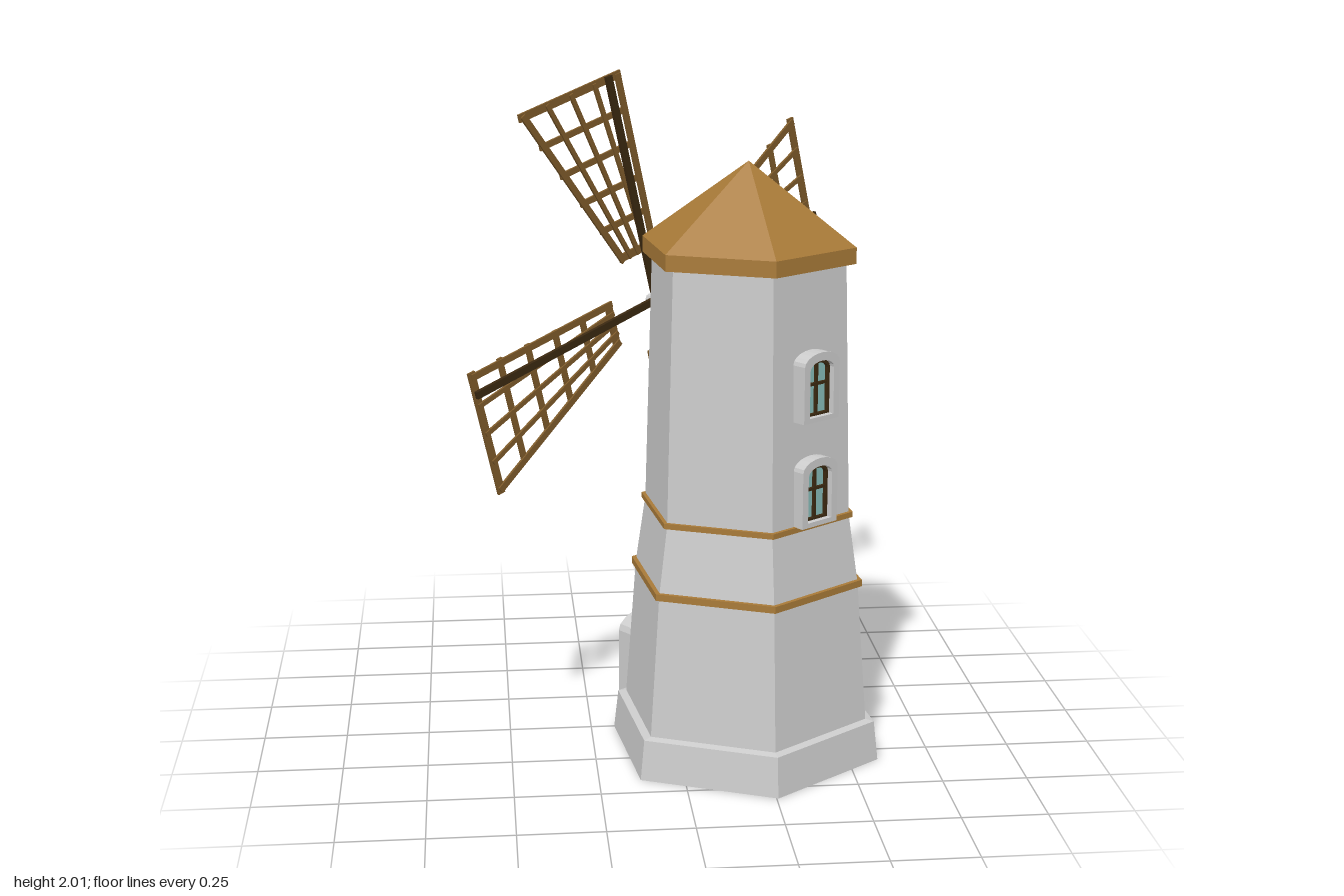
import * as THREE from 'three';

const mat = (color) => new THREE.MeshStandardMaterial({ color, flatShading: true });
const stone = mat(0xcccccc), roofWood = mat(0xa87a38), sailWood = mat(0x7d5a2a);
const darkWood = mat(0x3a2810), glass = mat(0x86bcb8);

function add(parent, name, geometry, material, x = 0, y = 0, z = 0) {
  const mesh = new THREE.Mesh(geometry, material);
  mesh.name = name;
  mesh.position.set(x, y, z);
  parent.add(mesh);
  return mesh;
}

const box = (w, h, d) => new THREE.BoxGeometry(w, h, d);

// Six-sided turned solid from [radius, height] pairs, with a flat side facing +z
const hexSolid = (profile) => new THREE.LatheGeometry(
  profile.map(([r, y]) => new THREE.Vector2(r, y)), 6, Math.PI / 6);

// Points over a low arch, from the right foot to the left foot
function archPoints(width, spring, rise, bottom = 0) {
  const pts = [new THREE.Vector2(width / 2, bottom)];
  for (let i = 0; i <= 10; i++) {
    const a = (i / 10) * Math.PI;
    pts.push(new THREE.Vector2(Math.cos(a) * width / 2, spring + Math.sin(a) * rise));
  }
  pts.push(new THREE.Vector2(-width / 2, bottom));
  return pts;
}

const extrude = (shape, depth) =>
  new THREE.ExtrudeGeometry(shape, { depth, bevelEnabled: false });

const archPanel = (width, spring, rise, depth) =>
  extrude(new THREE.Shape(archPoints(width, spring, rise)), depth);

// Arched frame; a sill height above zero closes it at the bottom
function archFrame(outer, inner, depth, sill = 0) {
  if (sill > 0) {
    const shape = new THREE.Shape(archPoints(...outer));
    shape.holes.push(new THREE.Path(archPoints(...inner, sill).reverse()));
    return extrude(shape, depth);
  }
  return extrude(new THREE.Shape([...archPoints(...outer), ...archPoints(...inner).reverse()]), depth);
}

// Arched window: stone surround, wooden frame, glass and glazing bars
function makeWindow() {
  const g = new THREE.Group();
  g.name = 'window';
  add(g, 'windowSurround', archFrame([0.14, 0.165, 0.035], [0.095, 0.15, 0.026], 0.075, 0.014), stone, 0, 0, 0.23);
  add(g, 'windowFrame', archFrame([0.095, 0.15, 0.026], [0.081, 0.147, 0.019], 0.02, 0.02), darkWood, 0, 0, 0.268);
  add(g, 'windowGlass', archPanel(0.088, 0.148, 0.022, 0.012), glass, 0, 0.005, 0.264);
  add(g, 'glazingBar', box(0.008, 0.155, 0.012), darkWood, 0, 0.09, 0.279);
  add(g, 'glazingBar', box(0.085, 0.008, 0.012), darkWood, 0, 0.105, 0.279);
  return g;
}

// Door with a deep arched porch
function makeDoor() {
  const g = new THREE.Group();
  g.name = 'door';
  add(g, 'doorSurround', archFrame([0.286, 0.285, 0.06], [0.2, 0.24, 0.06], 0.123), stone, 0, 0, 0.29);
  add(g, 'doorLeaf', archPanel(0.2, 0.24, 0.06, 0.06), darkWood, 0, 0, 0.325);
  add(g, 'doorFrame', archFrame([0.2, 0.24, 0.06], [0.176, 0.236, 0.05], 0.015), darkWood, 0, 0, 0.385);
  add(g, 'doorGlass', archPanel(0.06, 0.045, 0.014, 0.004), glass, 0, 0.21, 0.385);
  add(g, 'doorGlazingBar', box(0.006, 0.06, 0.006), darkWood, 0, 0.239, 0.389);
  add(g, 'doorGlazingBar', box(0.06, 0.006, 0.006), darkWood, 0, 0.236, 0.389);
  add(g, 'doorKnob', new THREE.SphereGeometry(0.008, 8, 6), roofWood, -0.065, 0.15, 0.392);
  return g;
}

// Flat lath between two points of the sail plane
function lath(parent, name, from, to, width, z) {
  const d = to.clone().sub(from);
  const m = add(parent, name, box(d.length(), width, 0.008), sailWood,
    (from.x + to.x) / 2, (from.y + to.y) / 2, z);
  m.rotation.z = Math.atan2(d.y, d.x);
}

// One sail along +x: dark spar and a fan-shaped lattice behind its edge
function makeSail() {
  const g = new THREE.Group();
  g.name = 'sail';
  add(g, 'sailSpar', box(0.71, 0.022, 0.012), darkWood, 0.355, 0, 0);
  const inner = 0.165, outer = 0.695;
  const point = (u, t) => new THREE.Vector2(
    THREE.MathUtils.lerp(inner, outer, u),
    THREE.MathUtils.lerp(0.048, THREE.MathUtils.lerp(-0.08, -0.315, u), t));
  for (let i = 0; i <= 4; i++) {
    lath(g, 'sailRib', point(-0.02, i / 4), point(1.01, i / 4), i % 4 ? 0.014 : 0.02, 0.017);
  }
  for (let j = 0; j <= 5; j++) {
    lath(g, 'sailCrossLath', point(j / 5, -0.04), point(j / 5, 1.04), j % 5 ? 0.018 : 0.024, 0.022);
  }
  return g;
}

export function createModel() {
  const model = new THREE.Group();
  model.name = 'windmill';
  const mill = new THREE.Group();
  mill.name = 'mill';
  mill.position.set(0.205, 0, 0.163);
  mill.rotation.y = Math.atan2(-0.6, -0.8);
  model.add(mill);

  // Tapering tower with plinth
  add(mill, 'tower', hexSolid([[0, 0], [0.417, 0], [0.403, 0.12], [0.377, 0.125],
    [0.344, 0.55], [0.313, 0.757], [0.291, 1.51], [0, 1.51]]), stone);

  // Wooden bands around the tower
  for (const [r, y, h] of [[0.357, 0.54, 0.02], [0.325, 0.75, 0.016]]) {
    add(mill, 'band', hexSolid([[0.29, y], [r, y], [r, y + h], [0.29, y + h]]), roofWood);
  }

  // Pointed roof with upright eaves
  add(mill, 'roof', hexSolid([[0.25, 1.5], [0.32, 1.5], [0.32, 1.547], [0, 1.78]]), roofWood);

  // Windows on the door side and the opposite side
  for (const turn of [0, Math.PI]) {
    for (const y of [0.765, 1.073]) {
      const w = makeWindow();
      w.position.y = y;
      w.rotation.y = turn;
      mill.add(w);
    }
  }
  mill.add(makeDoor());

  // Sail wheel on its axle
  const wheel = new THREE.Group();
  wheel.name = 'sailWheel';
  wheel.position.set(0, 1.315, 0.398);
  const axle = add(wheel, 'axle', new THREE.CylinderGeometry(0.015, 0.015, 0.19, 8), stone, 0, 0, -0.065);
  axle.rotation.x = Math.PI / 2;
  for (let i = 0; i < 4; i++) {
    const sail = makeSail();
    sail.rotation.z = THREE.MathUtils.degToRad(-15 + i * 90);
    wheel.add(sail);
  }
  mill.add(wheel);
  return model;
}
